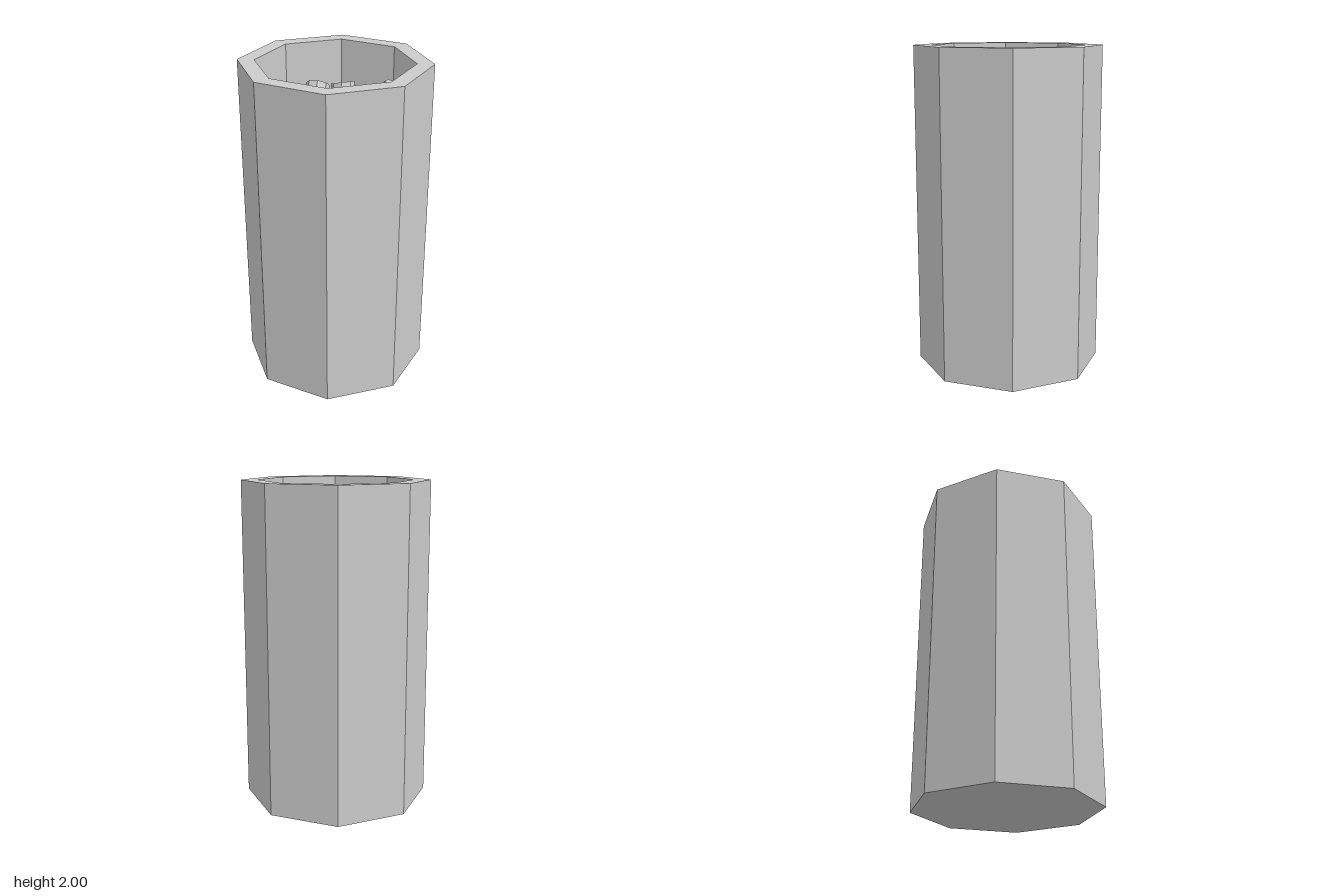
import * as THREE from 'three';

const FLOOR = 1.36; // height of the recessed floor

export function createModel() {
  const group = new THREE.Group();
  const material = new THREE.MeshStandardMaterial({ color: 0xcccccc, flatShading: true });

  // Eight-sided post with a recess in its top
  const profile = [[0, 0], [0.575, 0], [0.575, 2], [0.473, 2], [0.473, FLOOR], [0, FLOOR]]
    .map(([x, y]) => new THREE.Vector2(x, y));
  const post = new THREE.Mesh(new THREE.LatheGeometry(profile, 8), material);
  post.name = 'hollowPost';
  group.add(post);

  // Leaning sticks: top centre, foot on the recess floor (x, z), radius
  const sticks = [
    { top: [-0.255, 1.75, -0.276], foot: [-0.12, -0.222], radius: 0.075 },
    { top: [-0.33, 1.75, -0.14], foot: [-0.165, 0.098], radius: 0.076 },
    { top: [0.203, 1.84, -0.306], foot: [0.07, -0.148], radius: 0.077 },
    { top: [0.372, 1.86, 0.013], foot: [0.155, -0.02], radius: 0.093 },
    { top: [0.274, 1.78, 0.171], foot: [0.137, 0.272], radius: 0.077 },
    { top: [0, 1.73, 0.4], foot: [0, 0.185], radius: 0.053 },
    { top: [0, 1.55, -0.038], foot: [-0.075, -0.042], radius: 0.061 },
  ];
  const up = new THREE.Vector3(0, 1, 0);
  sticks.forEach(({ top, foot, radius }, i) => {
    const end = new THREE.Vector3(...top);
    const axis = end.clone().sub(new THREE.Vector3(foot[0], FLOOR, foot[1]));
    const length = axis.length() + radius; // foot sinks into the floor
    axis.normalize();
    const stick = new THREE.Mesh(new THREE.CylinderGeometry(radius, radius, length, 8), material);
    stick.name = `stick${i + 1}`;
    stick.quaternion.setFromUnitVectors(up, axis);
    stick.position.copy(end).addScaledVector(axis, -length / 2);
    group.add(stick);
  });

  return group;
}
